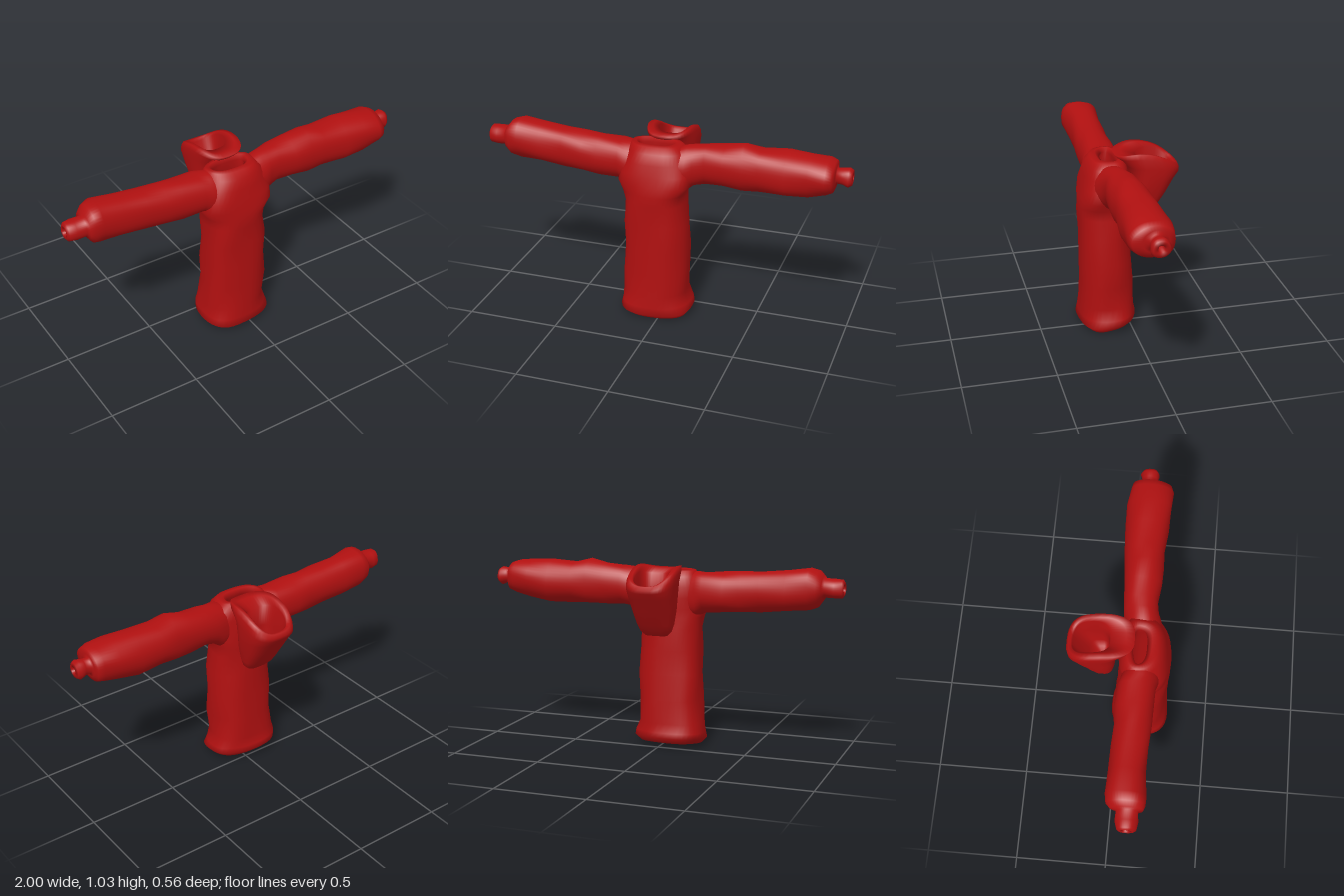
import * as THREE from 'three';

const SIDES = 40;

// Skin a series of oval rings [position along axis, u0, u1, v0, v1, tilt, crown].
// Axis 'y' uses u = x and v = z; axis 'x' uses u = z and v = y.
function loft(rings, { axis = 'y', power = 0.8, closed = false, wrinkle = 0.004 }) {
  const points = [], index = [];
  for (const [p, u0, u1, v0, v1, tilt = 0, crown = 0] of rings) {
    for (let j = 0; j < SIDES; j++) {
      const a = (j / SIDES) * Math.PI * 2;
      const c = Math.sign(Math.cos(a)) * Math.abs(Math.cos(a)) ** power;
      const s = Math.sign(Math.sin(a)) * Math.abs(Math.sin(a)) ** power;
      // soft cloth unevenness
      const w = 1 + wrinkle / 0.15 * Math.sin(3 * a + p * 23) + wrinkle / 0.3 * Math.sin(5 * a - p * 41);
      const u = (u0 + u1) / 2 + (u1 - u0) / 2 * c * w;
      const v = (v0 + v1) / 2 + (v1 - v0) / 2 * s * w;
      const q = p + tilt * s + crown * (1 - s * s);
      if (axis === 'y') points.push(u, q, v);
      else points.push(q, v, u);
    }
  }
  const count = rings.length;
  for (let i = 0; i < (closed ? count : count - 1); i++) {
    for (let j = 0; j < SIDES; j++) {
      const k = (j + 1) % SIDES, n = (i + 1) % count;
      const a = i * SIDES + j, b = i * SIDES + k, c = n * SIDES + j, d = n * SIDES + k;
      index.push(a, c, b, b, c, d);
    }
  }
  const g = new THREE.BufferGeometry();
  g.setAttribute('position', new THREE.Float32BufferAttribute(points, 3));
  g.setIndex(index);
  g.computeVertexNormals();
  return g;
}

export function createModel() {
  const group = new THREE.Group();
  const red = new THREE.MeshStandardMaterial({ color: 0xb01010, side: THREE.DoubleSide });
  red.name = 'red cloth';
  const add = (name, geometry) => {
    const mesh = new THREE.Mesh(geometry, red);
    mesh.name = name;
    group.add(mesh);
  };

  // Hollow body: outside from hem to neck, then back down the inside
  add('body', loft([
    [0.025, -0.21, 0.135, -0.01, 0.25, -0.015],
    [0.055, -0.24, 0.16, -0.04, 0.28, -0.018],
    [0.09, -0.235, 0.15, -0.035, 0.272, -0.01],
    [0.15, -0.222, 0.132, -0.026, 0.266],
    [0.28, -0.212, 0.14, -0.02, 0.266],
    [0.42, -0.21, 0.14, -0.012, 0.264],
    [0.56, -0.208, 0.135, -0.005, 0.266],
    [0.68, -0.208, 0.122, -0.006, 0.268],
    [0.74, -0.214, 0.13, -0.005, 0.27],
    [0.79, -0.235, 0.16, 0, 0.27],
    [0.85, -0.23, 0.16, 0, 0.258],
    [0.91, -0.215, 0.145, 0, 0.24],
    [0.965, -0.195, 0.125, 0.01, 0.222],
    [0.995, -0.175, 0.09, 0.03, 0.195],
    [0.998, -0.155, 0.06, 0.05, 0.165],
    [0.975, -0.14, 0.045, 0.07, 0.14],
    [0.9, -0.15, 0.06, 0.05, 0.19],
    [0.78, -0.16, 0.075, 0.04, 0.22],
    [0.4, -0.165, 0.09, 0.03, 0.225],
    [0.1, -0.175, 0.095, 0.02, 0.225],
  ], { closed: true }));

  // Sleeves, each running from the shoulder to a narrow hollow cuff
  const left = [
    [0.09, 0.02, 0.21, 0.75, 0.985],
    [0.13, 0.01, 0.205, 0.75, 0.995],
    [0.17, 0.005, 0.19, 0.782, 1.0],
    [0.23, 0, 0.18, 0.795, 1.01],
    [0.33, -0.008, 0.19, 0.792, 1.018],
    [0.43, -0.015, 0.195, 0.785, 1.035],
    [0.52, -0.02, 0.193, 0.79, 1.02],
    [0.66, -0.03, 0.205, 0.785, 1.025],
    [0.78, -0.027, 0.212, 0.803, 1.022],
    [0.87, -0.02, 0.212, 0.825, 1.014],
    [0.905, -0.012, 0.2, 0.84, 1.0],
    [0.912, 0.02, 0.15, 0.865, 0.98],
    [0.915, 0.042, 0.122, 0.882, 0.962],
    [0.945, 0.04, 0.125, 0.88, 0.965],
    [0.975, 0.03, 0.132, 0.868, 0.97],
    [0.992, 0.04, 0.122, 0.88, 0.96],
    [0.995, 0.065, 0.1, 0.905, 0.94],
    [0.93, 0.065, 0.1, 0.905, 0.94],
    [0.93, 0.082, 0.083, 0.922, 0.923],
  ];
  const right = [
    [-0.16, 0.02, 0.21, 0.735, 0.985],
    [-0.2, 0.01, 0.21, 0.745, 0.99],
    [-0.24, 0, 0.2, 0.77, 0.99],
    [-0.36, -0.005, 0.2, 0.775, 0.995],
    [-0.45, 0.003, 0.195, 0.782, 1.0],
    [-0.56, 0, 0.19, 0.79, 1.008],
    [-0.7, -0.005, 0.185, 0.802, 1.018],
    [-0.82, -0.01, 0.198, 0.815, 1.038],
    [-0.865, 0.002, 0.2, 0.83, 1.025],
    [-0.89, 0.025, 0.19, 0.865, 0.995],
    [-0.9, 0.055, 0.165, 0.88, 0.982],
    [-0.95, 0.05, 0.168, 0.878, 0.98],
    [-0.99, 0.062, 0.16, 0.88, 0.978],
    [-1.0, 0.075, 0.145, 0.895, 0.965],
    [-0.997, 0.09, 0.13, 0.91, 0.95],
    [-0.93, 0.09, 0.13, 0.91, 0.95],
    [-0.93, 0.109, 0.11, 0.929, 0.93],
  ];
  add('leftSleeve', loft(left, { axis: 'x', power: 0.92 }));
  add('rightSleeve', loft(right.reverse(), { axis: 'x', power: 0.92 }));

  // Hood hanging open behind the neck: a pouch with a thick rim
  add('hood', loft([
    [0.652, -0.03, -0.01, -0.075, -0.065],
    [0.656, -0.08, 0.04, -0.1, -0.045],
    [0.68, -0.105, 0.065, -0.125, -0.032],
    [0.72, -0.12, 0.08, -0.152, -0.025],
    [0.8, -0.135, 0.095, -0.205, -0.018],
    [0.87, -0.145, 0.105, -0.247, -0.012],
    [0.925, -0.152, 0.11, -0.276, 0.005, 0.02, 0.02],
    [0.958, -0.152, 0.108, -0.28, 0.06, 0.035, 0.04],
    [0.978, -0.145, 0.098, -0.27, 0.075, 0.035, 0.05],
    [0.978, -0.122, 0.078, -0.256, 0.03, 0.035, 0.045],
    [0.96, -0.108, 0.064, -0.248, -0.05, 0.03, 0.035],
    [0.88, -0.1, 0.06, -0.225, -0.055],
    [0.78, -0.09, 0.05, -0.165, -0.055],
    [0.74, -0.07, 0.03, -0.13, -0.065],
    [0.735, -0.021, -0.019, -0.091, -0.09],
  ], { power: 0.7, wrinkle: 0.002 }));

  return group;
}
